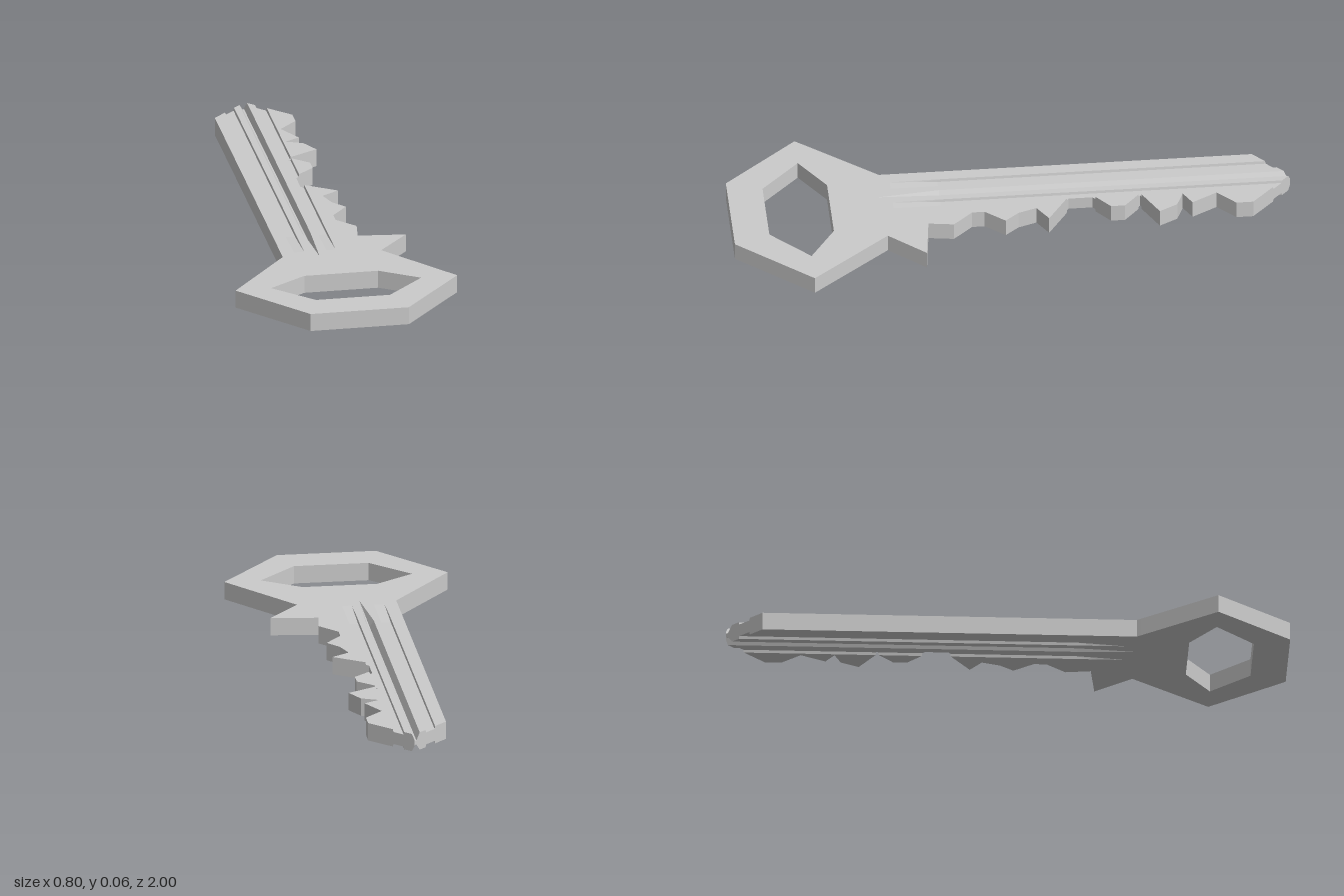
import * as THREE from 'three';

const T = 0.065; // thickness of the key
const material = new THREE.MeshStandardMaterial({ color: 0xcccccc, flatShading: true });

// Blade edges as [x, z], from the tip to the bow
const cutEdge = [
  [-0.048, -1], [0.098, -0.855], [0.098, -0.795], [0.033, -0.73], [0.082, -0.64], [0.028, -0.61],
  [0.088, -0.585], [0.123, -0.52], [0.012, -0.46], [0.078, -0.4], [0.078, -0.35], [0.008, -0.29],
  [0.008, -0.205], [0.128, -0.125], [0.065, -0.085], [0.087, -0.02], [0.128, 0.03], [0.07, 0.1],
  [0.07, 0.145], [0.133, 0.215], [0.12, 0.305], [0.29, 0.325], [0.177, 0.455], [0.189, 0.47],
];
const backEdge = [[-0.048, -1], [-0.178, -0.875], [-0.178, 0.455], [-0.19, 0.47]];

// Groove profile as [x, depth]; the middle groove is a deep V between two shallow square ones
const grooves = [
  [-0.133, 0], [-0.131, 0.01], [-0.096, 0.01], [-0.094, 0],
  [-0.07, 0], [-0.056, 0.025], [-0.05, 0.025], [-0.04, 0],
  [-0.016, 0], [-0.014, 0.01], [0.018, 0.01], [0.02, 0],
];
const RUN_OUT = 0.25, SIDE_END = 0.42, MIDDLE_END = 0.47, MIDDLE_X = -0.048;
const isMiddle = (i) => i >= 4 && i <= 7;
const fade = (z, end) => THREE.MathUtils.clamp((end - z) / (end - RUN_OUT), 0, 1);

// Linear interpolation in a list of [key, value]
function lerpList(list, key) {
  if (key <= list[0][0]) return list[0][1];
  for (let i = 1; i < list.length; i++) {
    const [a, va] = list[i - 1], [b, vb] = list[i];
    if (key <= b) return b - a < 1e-9 ? vb : va + (vb - va) * (key - a) / (b - a);
  }
  return list[list.length - 1][1];
}
const edgeX = (edge, z) => lerpList(edge.map(([x, ez]) => [ez, x]), z);

// Groove profile at z: grooves run out towards the bow, the middle one to a point
function profileAt(z) {
  return grooves.map(([x, d], i) => {
    if (!isMiddle(i)) return [x, d * fade(z, SIDE_END)];
    const k = fade(z, MIDDLE_END);
    return [MIDDLE_X + (x - MIDDLE_X) * k, d * k];
  });
}

// One row of the blade: surface points across it as { x, z, d }
function rowAt(z) {
  const profile = profileAt(z);
  const left = edgeX(backEdge, z), right = edgeX(cutEdge, z);
  return [left, ...profile.map((p) => p[0]), right].map((px) => {
    const x = THREE.MathUtils.clamp(px, left, right);
    return { x, z, d: lerpList(profile, x) };
  });
}

function bladeGeometry() {
  // Rows at each edge corner and wherever an edge crosses a groove line
  const zs = new Set([RUN_OUT, SIDE_END]);
  for (const edge of [cutEdge, backEdge]) {
    edge.forEach(([x, z], i) => {
      zs.add(z);
      if (i === 0) return;
      const [px, pz] = edge[i - 1];
      for (const [gx] of grooves) {
        const t = (gx - px) / (x - px);
        if (t > 0 && t < 1) zs.add(pz + (z - pz) * t);
      }
    });
  }
  const rows = [...zs].sort((a, b) => a - b).map(rowAt);

  const positions = [];
  const tri = (a, b, c) => {
    const area = b.clone().sub(a).cross(c.clone().sub(a)).length();
    if (area > 1e-9) for (const p of [a, b, c]) positions.push(p.x, p.y, p.z);
  };
  const quad = (a, b, c, d) => { tri(a, b, c); tri(a, c, d); };
  const top = (p) => new THREE.Vector3(p.x, T - p.d, p.z);
  const low = (p) => new THREE.Vector3(p.x, p.d, p.z);

  for (let r = 1; r < rows.length; r++) {
    const a = rows[r - 1], b = rows[r], n = a.length - 1;
    for (let i = 0; i < n; i++) {
      quad(top(a[i]), top(b[i]), top(b[i + 1]), top(a[i + 1]));
      quad(low(a[i]), low(a[i + 1]), low(b[i + 1]), low(b[i]));
    }
    quad(low(a[n]), top(a[n]), top(b[n]), low(b[n])); // toothed side
    quad(low(a[0]), low(b[0]), top(b[0]), top(a[0])); // straight side
  }
  const geometry = new THREE.BufferGeometry();
  geometry.setAttribute('position', new THREE.Float32BufferAttribute(positions, 3));
  geometry.computeVertexNormals();
  return geometry;
}

// Hexagonal bow with a hexagonal hole, laid flat; outline counterclockwise, hole clockwise
function bowGeometry() {
  const flat = (points) => points.map(([x, z]) => new THREE.Vector2(x, -z));
  const shape = new THREE.Shape(flat([
    [-0.4, 0.735], [-0.178, 1], [0.177, 1], [0.4, 0.735], [0.189, 0.47], [-0.19, 0.47],
  ]));
  shape.holes.push(new THREE.Path(flat([
    [-0.135, 0.643], [0.132, 0.643], [0.27, 0.735], [0.132, 0.873], [-0.135, 0.873], [-0.272, 0.735],
  ])));
  return new THREE.ExtrudeGeometry(shape, { depth: T, bevelEnabled: false }).rotateX(-Math.PI / 2);
}

export function createModel() {
  const key = new THREE.Group();
  key.name = 'key';
  const parts = { blade: bladeGeometry(), bow: bowGeometry() };
  for (const [name, geometry] of Object.entries(parts)) {
    const mesh = new THREE.Mesh(geometry, material);
    mesh.name = name;
    key.add(mesh);
  }
  return key;
}
